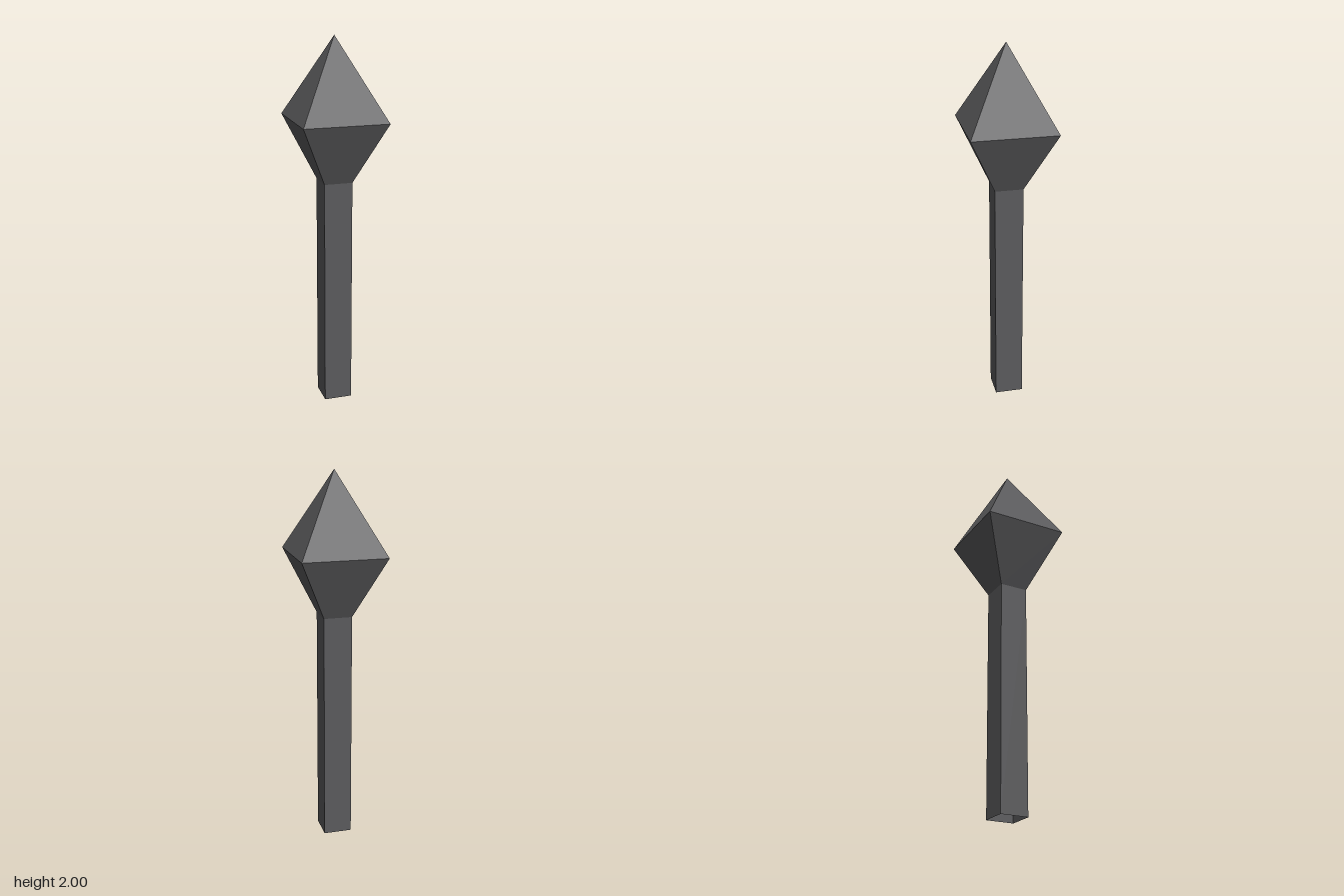
import * as THREE from 'three';

const iron = new THREE.MeshStandardMaterial({ color: 0x5a5a5c, flatShading: true, side: THREE.DoubleSide });
iron.name = 'darkIron';

// Open four-sided section between two heights, with flat sides facing the axes
function squareSection(name, y0, half0, y1, half1) {
  const geometry = new THREE.CylinderGeometry(
    half1 * Math.SQRT2, half0 * Math.SQRT2, y1 - y0, 4, 1, true, Math.PI / 4
  ).toNonIndexed();
  geometry.computeVertexNormals();
  geometry.translate(0, (y0 + y1) / 2, 0);
  const mesh = new THREE.Mesh(geometry, iron);
  mesh.name = name;
  return mesh;
}

export function createModel() {
  const group = new THREE.Group();
  group.name = 'spikedPost';

  // Hollow square shaft, open at the foot
  group.add(squareSection('shaft', 0, 0.076, 1.245, 0.076));

  // Diamond head: flared base and pyramid point
  const head = new THREE.Group();
  head.name = 'head';
  head.add(squareSection('headFlare', 1.245, 0.076, 1.575, 0.226));
  head.add(squareSection('headPoint', 1.575, 0.226, 2, 0));
  group.add(head);

  return group;
}
